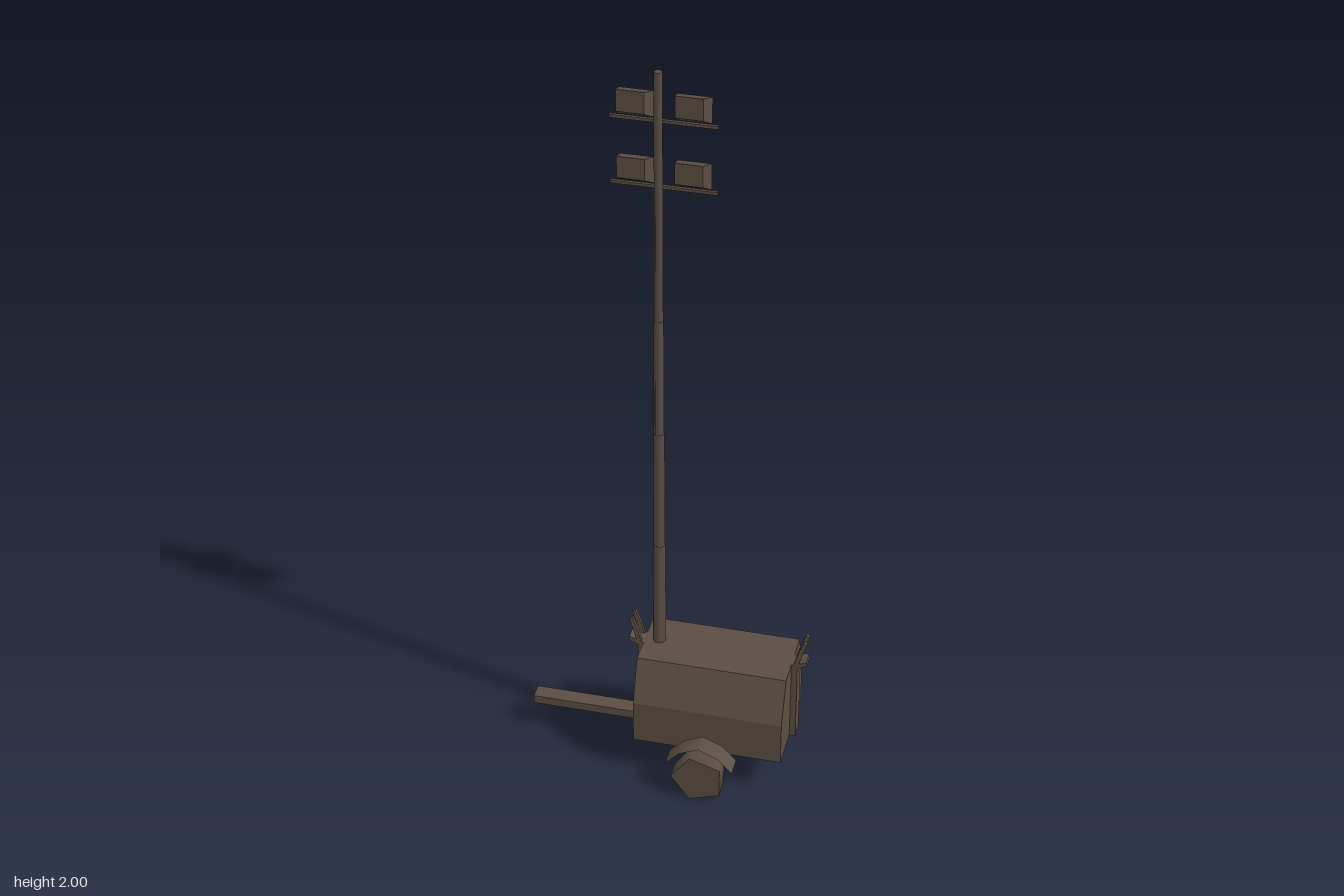
import * as THREE from 'three';

export function createModel() {
  const model = new THREE.Group();
  model.name = 'lightTower';
  const brown = new THREE.MeshStandardMaterial({ color: 0x5c4f44, side: THREE.DoubleSide });
  brown.name = 'dull brown';

  const add = (name, geometry, x = 0, y = 0, z = 0) => {
    const mesh = new THREE.Mesh(geometry, brown);
    mesh.name = name;
    mesh.position.set(x, y, z);
    model.add(mesh);
    return mesh;
  };
  // Box given by its lower and upper limits
  const box = (name, x0, x1, y0, y1, z0, z1) =>
    add(name, new THREE.BoxGeometry(x1 - x0, y1 - y0, z1 - z0),
      (x0 + x1) / 2, (y0 + y1) / 2, (z0 + z1) / 2);
  // Profile in x and y, extruded along z
  const extrude = (points, depth) => new THREE.ExtrudeGeometry(
    new THREE.Shape(points.map(([x, y]) => new THREE.Vector2(x, y))),
    { depth, bevelEnabled: false });

  // Generator body with sloped shoulders, extruded along x
  const body = extrude([[-0.132, 0.107], [0.135, 0.107], [0.135, 0.23],
    [0.09, 0.345], [-0.086, 0.345], [-0.132, 0.23]], 0.395);
  body.rotateY(Math.PI / 2);
  add('body', body, -0.067);

  box('drawbar', -0.372, -0.008, 0.08, 0.104, -0.024, 0.019);

  // Telescopic six-sided mast
  const mastX = -0.029, mastZ = -0.003;
  [[0.34, 0.655, 0.0175], [0.655, 1.0, 0.0155], [1.0, 1.33, 0.0135], [1.33, 2.0, 0.0115]]
    .forEach(([y0, y1, r], i) => add(`mastSection${i + 1}`,
      new THREE.CylinderGeometry(r - 0.001, r, y1 - y0, 6, 1, false, Math.PI / 2),
      mastX, (y0 + y1) / 2, mastZ));

  // Lamp housing: a box flared and dropped towards its face at -z
  const lamp = new THREE.BoxGeometry(1, 1, 1);
  const p = lamp.attributes.position;
  for (let i = 0; i < p.count; i++) {
    const face = p.getZ(i) < 0, top = p.getY(i) > 0;
    p.setXYZ(i, p.getX(i) * (face ? 0.083 : 0.068),
      face ? (top ? 0.07 : 0) : (top ? 0.095 : 0.038),
      face ? -0.071 : -0.009);
  }
  lamp.computeVertexNormals();

  // Two rows of lamps on crossbars
  for (const y of [1.669, 1.844]) {
    box('lampBar', -0.159, 0.103, y - 0.003, y + 0.005, -0.06, -0.052);
    for (const x of [-0.098, 0.043]) add('lamp', lamp, x, y, 0);
  }

  // Five-sided wheels under thin curved mudguards
  const wheel = new THREE.CylinderGeometry(0.072, 0.072, 0.054, 5, 1, false, -Math.PI / 2);
  wheel.rotateX(Math.PI / 2);
  const arch = [[0.037, 0.11], [0.075, 0.15], [0.126, 0.173], [0.178, 0.15], [0.215, 0.11]];
  const guard = new THREE.PlaneGeometry(1, 0.054, arch.length - 1, 1);
  guard.rotateX(-Math.PI / 2);
  const g = guard.attributes.position;
  for (let i = 0; i < g.count; i++) {
    const [x, y] = arch[i % arch.length];
    g.setXYZ(i, x, y, g.getZ(i));
  }
  guard.computeVertexNormals();
  for (const [wheelZ, guardZ] of [[0.185, 0.181], [-0.184, -0.188]]) {
    add('wheel', wheel, 0.125, 0.073, wheelZ);
    add('mudguard', guard, 0, 0, guardZ);
  }

  // Upright post with a forked cradle at each end of the body
  const cradleBase = [[0.196, 0.325], [0.238, 0.347], [0.236, 0.358], [0.2, 0.345]];
  const prong = [[0.203, 0.345], [0.216, 0.348], [0.226, 0.385], [0.236, 0.414],
    [0.228, 0.422], [0.214, 0.385]];
  const middle = 0.131;
  for (const side of [1, -1]) {
    const mirror = (points) => points.map(([x, y]) => [x * side, y]);
    add('endPost', new THREE.BoxGeometry(0.017, 0.238, 0.043),
      middle + side * 0.2045, 0.226, -0.003);
    add('cradleBase', extrude(mirror(cradleBase), 0.043), middle, 0, -0.0245);
    for (const z of [-0.0245, 0.0085])
      add('cradleProng', extrude(mirror(prong), 0.01), middle, 0, z);
  }
  return model;
}
